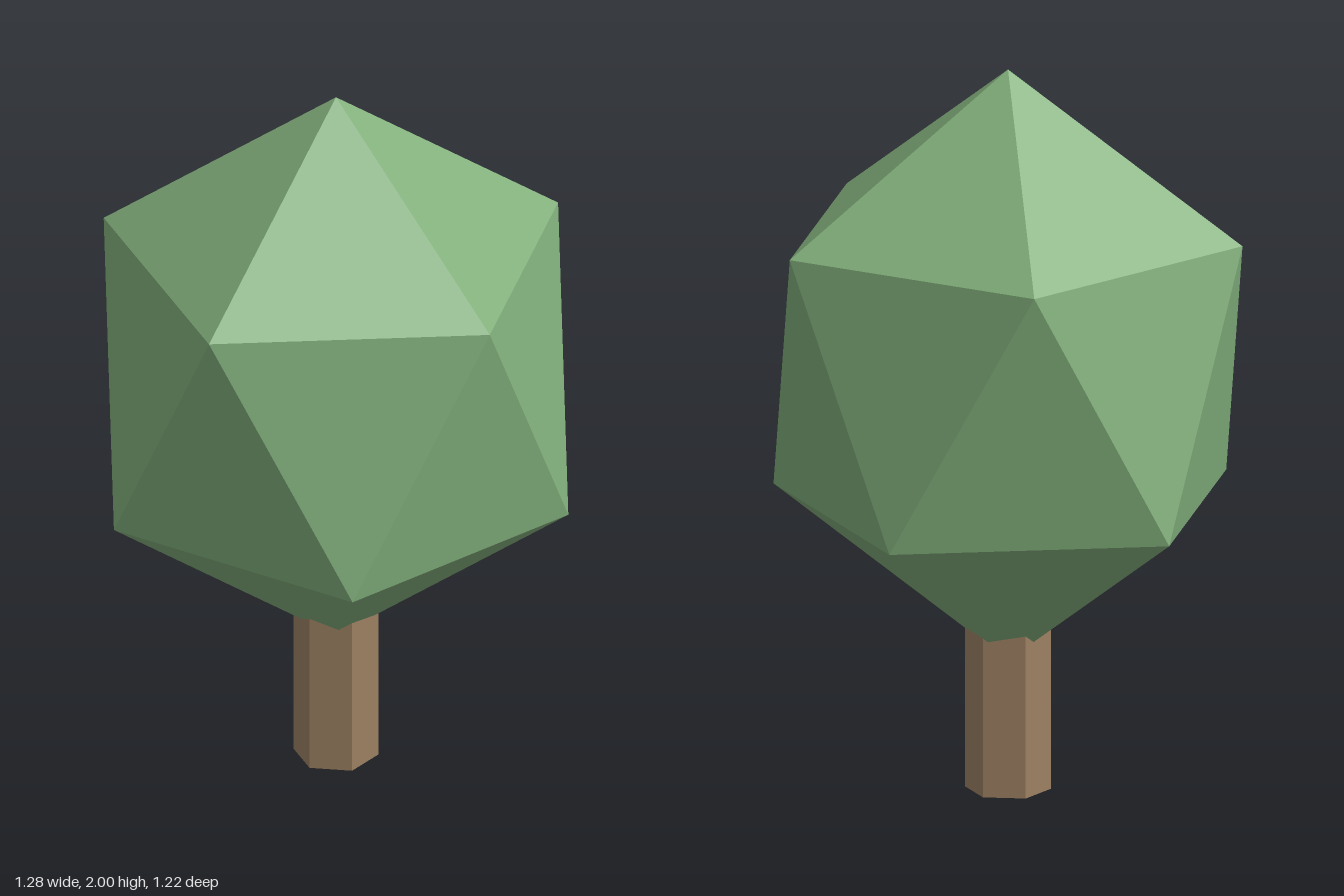
import * as THREE from 'three';

export function createModel() {
  const group = new THREE.Group();

  const addPart = (name, geometry, color) => {
    const material = new THREE.MeshStandardMaterial({ color, flatShading: true });
    const mesh = new THREE.Mesh(geometry, material);
    mesh.name = name;
    group.add(mesh);
    return mesh;
  };

  // Trunk: hexagonal post whose top is buried in the foliage
  const trunkHeight = 0.6;
  const trunk = addPart('trunk', new THREE.CylinderGeometry(0.115, 0.115, trunkHeight, 6), 0x9c8062);
  trunk.position.y = trunkHeight / 2;

  // Foliage: icosahedron turned to stand on one corner, then stretched upwards
  const radius = 0.716;
  const halfHeight = 0.8225;
  const crown = new THREE.IcosahedronGeometry(radius, 0);
  crown.rotateX(-Math.atan((1 + Math.sqrt(5)) / 2));
  crown.rotateY(Math.PI / 2);
  crown.scale(1, halfHeight / radius, 1);
  crown.computeVertexNormals();
  const foliage = addPart('foliage', crown, 0x82b07c);
  foliage.position.y = 2 - halfHeight;

  return group;
}
